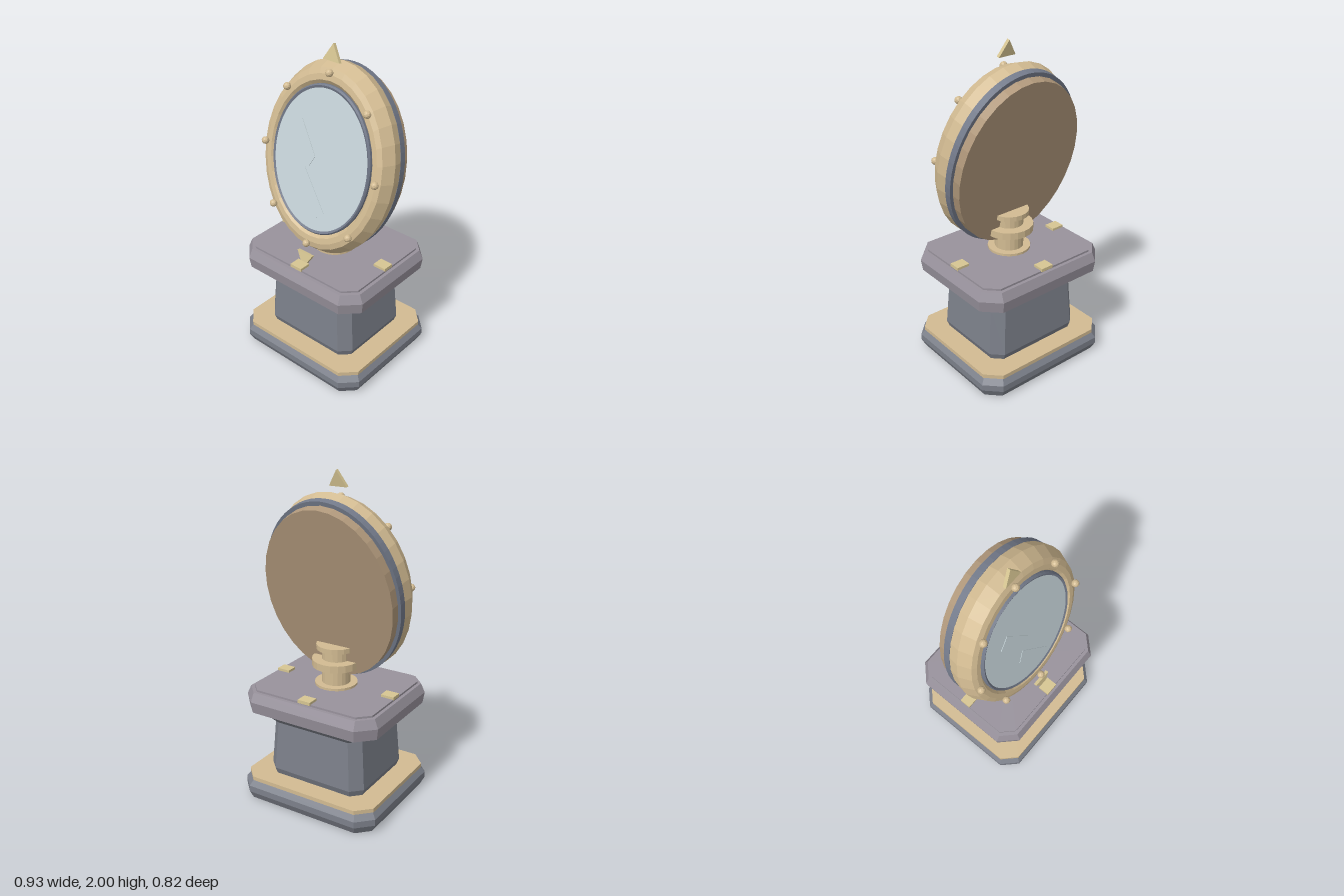
import * as THREE from 'three';

const mat = (name, color) => new THREE.MeshStandardMaterial({ name, color });

export function createModel() {
  const slate = mat('slate stone', 0x7c808a);
  const cap = mat('pale stone', 0x98929c);
  const gold = mat('gold', 0xd2bb92);
  const trim = mat('pale gold', 0xd6c592);
  const bronze = mat('bronze', 0xaf977a);
  const steel = mat('blue steel', 0x737a8a);
  const glass = mat('mirror glass', 0xc6d4d9);
  const root = new THREE.Group();

  const flat = (g) => {
    const out = g.index ? g.toNonIndexed() : g;
    out.computeVertexNormals();
    return out;
  };
  const add = (parent, name, geo, material, x = 0, y = 0, z = 0) => {
    const m = new THREE.Mesh(geo, material);
    m.name = name;
    m.position.set(x, y, z);
    parent.add(m);
    return m;
  };

  // Stack of chamfered rectangles: each level is [y, halfX, halfZ, chamfer]
  const chamferedLoft = (levels) => {
    const rings = levels.map(([y, x, z, c]) => [
      [x, z - c], [x - c, z], [c - x, z], [-x, z - c],
      [-x, c - z], [c - x, -z], [x - c, -z], [x, c - z],
    ].map(([px, pz]) => [px, y, pz]));
    const pos = [];
    const tri = (...p) => p.forEach((v) => pos.push(...v));
    const last = rings.length - 1;
    for (let i = 0; i < 8; i++) {
      const j = (i + 1) % 8;
      for (let k = 0; k < last; k++) {
        const a = rings[k], b = rings[k + 1];
        tri(a[i], b[i], b[j]);
        tri(a[i], b[j], a[j]);
      }
      tri([0, levels[0][0], 0], rings[0][i], rings[0][j]);
      tri([0, levels[last][0], 0], rings[last][j], rings[last][i]);
    }
    const g = new THREE.BufferGeometry();
    g.setAttribute('position', new THREE.Float32BufferAttribute(pos, 3));
    g.computeVertexNormals();
    return g;
  };

  // Pedestal
  add(root, 'base', chamferedLoft([
    [0, 0.44, 0.385, 0.075], [0.05, 0.465, 0.41, 0.09],
    [0.09, 0.465, 0.41, 0.09], [0.125, 0.44, 0.385, 0.08]]), slate);
  add(root, 'basePlate', chamferedLoft([
    [0.125, 0.445, 0.39, 0.085], [0.15, 0.445, 0.39, 0.085]]), gold);
  add(root, 'column', chamferedLoft([
    [0.15, 0.315, 0.27, 0.055], [0.19, 0.33, 0.285, 0.065],
    [0.5, 0.307, 0.268, 0.062], [0.55, 0.37, 0.31, 0.075]]), slate);
  add(root, 'capital', chamferedLoft([
    [0.545, 0.37, 0.31, 0.075], [0.585, 0.445, 0.38, 0.095],
    [0.655, 0.455, 0.39, 0.1], [0.71, 0.43, 0.365, 0.08]]), cap);
  add(root, 'capitalInset', chamferedLoft([
    [0.71, 0.41, 0.345, 0.07], [0.722, 0.41, 0.345, 0.07]]), cap);
  for (const [x, z] of [[0.37, 0], [-0.37, 0], [0, 0.317], [0, -0.317]]) {
    add(root, 'capitalTile', new THREE.BoxGeometry(0.083, 0.02, 0.07), trim, x, 0.727, z);
  }

  // Swivel post: [name, radius, bottom, top]
  for (const [name, r, y0, y1] of [
    ['postFoot', 0.13, 0.72, 0.737], ['post', 0.087, 0.735, 0.955],
    ['postCollar', 0.147, 0.843, 0.887], ['postHead', 0.12, 0.95, 0.98]]) {
    add(root, name, flat(new THREE.CylinderGeometry(r, r, y1 - y0, 20)), gold, 0, (y0 + y1) / 2, 0);
  }

  // Tilted oval mirror; local +z is its facing direction
  const mirror = new THREE.Group();
  mirror.name = 'mirror';
  mirror.position.set(0, 1.35, 0.153);
  mirror.rotation.x = -THREE.MathUtils.degToRad(12);
  root.add(mirror);
  const OVAL = 1.24;
  // Oval turned part from [radius, depth] points running back to front
  const oval = (name, pts, material, segments) => {
    const g = new THREE.LatheGeometry(pts.map(([r, d]) => new THREE.Vector2(r, d)), segments);
    g.rotateX(Math.PI / 2);
    g.scale(1, OVAL, 1);
    add(mirror, name, flat(g), material);
  };
  oval('mirrorBack', [[0, -0.26], [0.425, -0.26], [0.43, -0.2]], bronze, 32);
  oval('mirrorBand', [[0.41, -0.206], [0.448, -0.206], [0.45, -0.163], [0.42, -0.163]], steel, 64);
  oval('mirrorRim', [[0.42, -0.166], [0.449, -0.166], [0.461, -0.1], [0.428, -0.028],
    [0.4, -0.016], [0.372, -0.016], [0.352, -0.04]], gold, 32);
  oval('glassBezel', [[0.354, -0.05], [0.354, -0.022], [0.347, -0.012], [0.336, -0.018]], steel, 64);
  oval('glass', [[0.338, -0.022], [0.338, -0.018], [0, -0.018]], glass, 64);

  // Rim studs
  for (let i = 0; i < 8; i++) {
    const a = (i * Math.PI) / 4;
    add(mirror, 'rimStud', flat(new THREE.IcosahedronGeometry(0.023, 1)), gold,
      0.407 * Math.cos(a), 0.507 * Math.sin(a), 0);
  }

  const plate = (pts, depth) => {
    const shape = new THREE.Shape(pts.map(([x, y]) => new THREE.Vector2(x, y)));
    return new THREE.ExtrudeGeometry(shape, { depth, bevelEnabled: false });
  };

  // Pointed finials above and below
  for (const s of [1, -1]) {
    add(mirror, s > 0 ? 'topFinial' : 'bottomFinial',
      plate([[-0.058, s * 0.572], [0.058, s * 0.572], [0, s * 0.668]], 0.02), trim, 0, 0, -0.02);
  }

  // Reflection streaks
  add(mirror, 'upperGlint', plate([[-0.21, 0.145], [-0.053, -0.044], [-0.016, 0.026], [-0.143, 0.216]], 0.003),
    glass, 0, 0, 0.003);
  add(mirror, 'lowerGlint', plate([[-0.122, -0.141], [0.048, -0.325], [0.1, -0.282], [-0.079, -0.055]], 0.003),
    glass, 0, 0, 0.003);

  return root;
}
